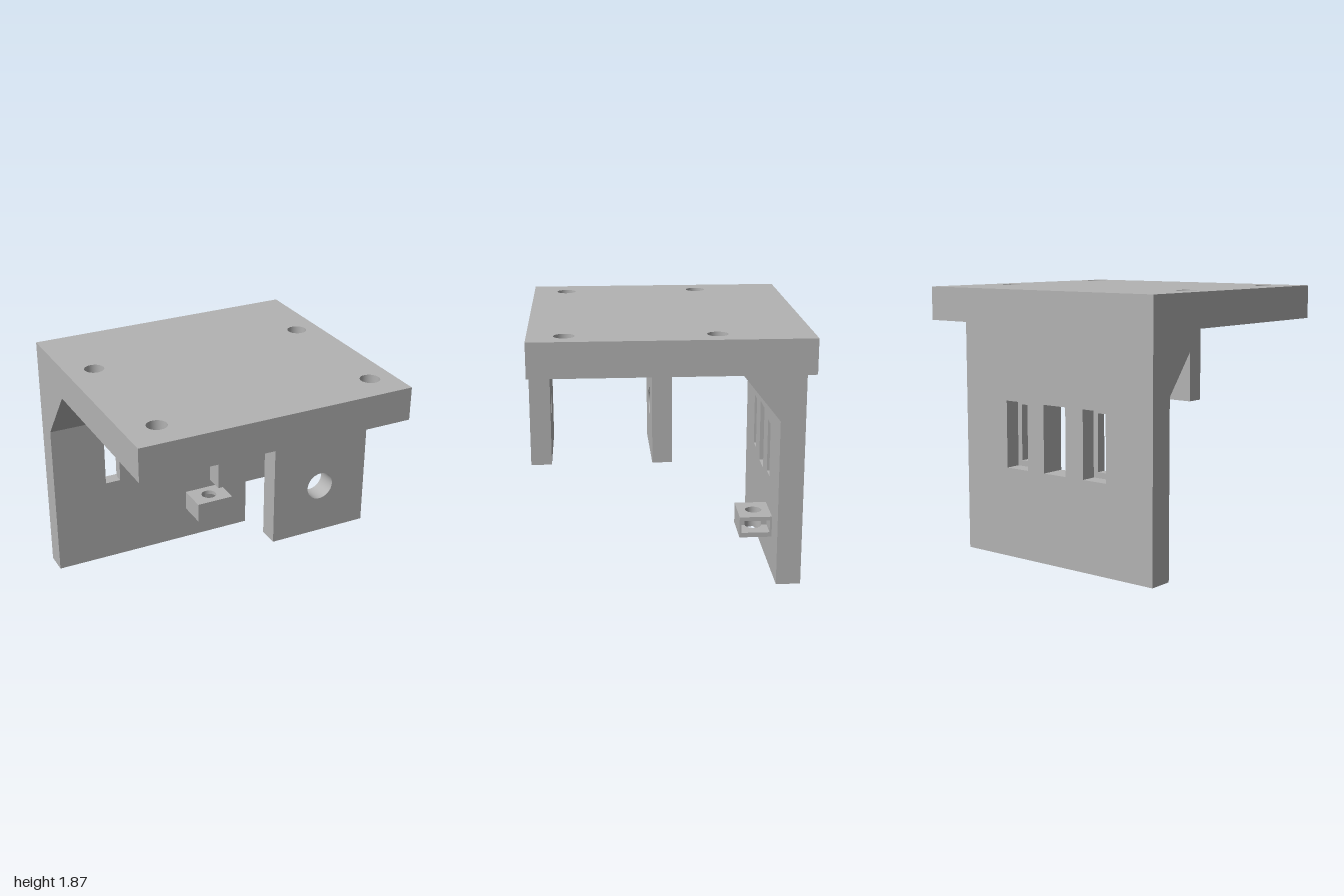
import * as THREE from 'three';
import { toCreasedNormals } from 'three/addons/utils/BufferGeometryUtils.js';

const grey = new THREE.MeshStandardMaterial({ color: 0xb3b3b3 });
grey.name = 'grey';

// Closed rectangle as a list of points
const rectPoints = (x0, x1, y0, y1) =>
  [[x0, y0], [x1, y0], [x1, y1], [x0, y1]].map(([x, y]) => new THREE.Vector2(x, y));
const rect = (...r) => new THREE.Shape(rectPoints(...r));
const slot = (...r) => new THREE.Path(rectPoints(...r).reverse());
const circle = (x, y, r) => new THREE.Path().absarc(x, y, r, 0, Math.PI * 2, true);

function extrude(shape, holes, depth) {
  shape.holes.push(...holes);
  const geo = new THREE.ExtrudeGeometry(shape, { depth, bevelEnabled: false, curveSegments: 20 });
  return toCreasedNormals(geo, 0.6);
}

export function createModel() {
  const model = new THREE.Group();
  model.name = 'mountingBracket';
  const add = (name, geometry) => {
    const mesh = new THREE.Mesh(geometry, grey);
    mesh.name = name;
    model.add(mesh);
    return mesh;
  };
  // Upright plate: outline in x, y, spanning z0..z1
  const upright = (name, shape, holes, z0, z1) =>
    add(name, extrude(shape, holes, z1 - z0).translate(0, 0, z0));
  // Flat slab: outline in x, -z, spanning y0..y1
  const slab = (name, shape, holes, y0, y1) =>
    add(name, extrude(shape, holes, y1 - y0).rotateX(-Math.PI / 2).translate(0, y0, 0));

  // Top plate with four screw holes, countersunk from below
  const screws = [[-0.795, -0.305], [0.825, -0.305], [-0.765, 0.695], [0.825, 0.695]];
  const holesOf = (r) => screws.map(([x, z]) => circle(x, -z, r));
  slab('topPlate', rect(-1, 1, -0.94, 0.94), holesOf(0.07), 1.69, 1.865);
  slab('topPlateUnderside', rect(-1, 1, -0.94, 0.94), holesOf(0.13), 1.625, 1.69);
  for (const [x, z] of screws) {
    const cone = new THREE.CylinderGeometry(0.07, 0.13, 0.065, 40, 1, true);
    cone.index.array.reverse(); // the inside of the cone is what shows
    const normals = cone.attributes.normal.array;
    normals.forEach((n, i) => { normals[i] = -n; });
    add('countersink', cone.translate(x, 1.6575, z));
  }

  // Back plate: three slots, the outer two stepped to a narrower opening in front
  const centres = [-0.52, -0.1725, 0.17];
  const wide = (x) => slot(x - 0.0975, x + 0.0975, 0.63, 1.1);
  const narrow = (x) => slot(x - 0.06, x + 0.06, 0.67, 1.065);
  upright('backPlateRear', rect(-1, 0.655, 0, 1.625), centres.map(wide), -0.94, -0.83);
  upright('backPlateFront', rect(-1, 0.655, 0, 1.625),
    centres.map((x, i) => (i === 1 ? wide(x) : narrow(x))), -0.83, -0.765);

  // Sloping ribs under the top plate, one at each edge of the back plate
  for (const x of [-1, 0.38]) {
    const rib = new THREE.Shape([[0.765, 1.21], [0.765, 1.625], [0.435, 1.625]]
      .map(([s, y]) => new THREE.Vector2(s, y)));
    add('rib', extrude(rib, [], 0.275).rotateY(Math.PI / 2).translate(x, 0, 0));
  }

  // Two hanging lugs with aligned rod holes
  for (const [name, z0, z1] of [['frontLug', 0.8, 0.94], ['middleLug', -0.02, 0.115]]) {
    upright(name, rect(-0.04, 0.655, 0.935, 1.625), [circle(0.31, 1.28, 0.095)], z0, z1);
  }

  // Nut holder: floor and roof with a screw hole, pocket open to the left
  const cap = () => rect(0.105, 0.41, 0.53, 0.765);
  const screw = () => [circle(0.257, 0.648, 0.06)];
  slab('nutHolderFloor', cap(), screw(), 0.265, 0.3);
  slab('nutHolderRoof', cap(), screw(), 0.39, 0.42);
  const walls = new THREE.Shape();
  walls.moveTo(0.105, 0.53).lineTo(0.41, 0.53).lineTo(0.41, 0.545).lineTo(0.257, 0.545)
    .lineTo(0.257, 0.588).absarc(0.257, 0.648, 0.06, -Math.PI / 2, Math.PI / 2, true)
    .lineTo(0.257, 0.75).lineTo(0.41, 0.75).lineTo(0.41, 0.765).lineTo(0.105, 0.765);
  slab('nutHolderWalls', walls, [], 0.3, 0.39);

  return model;
}
